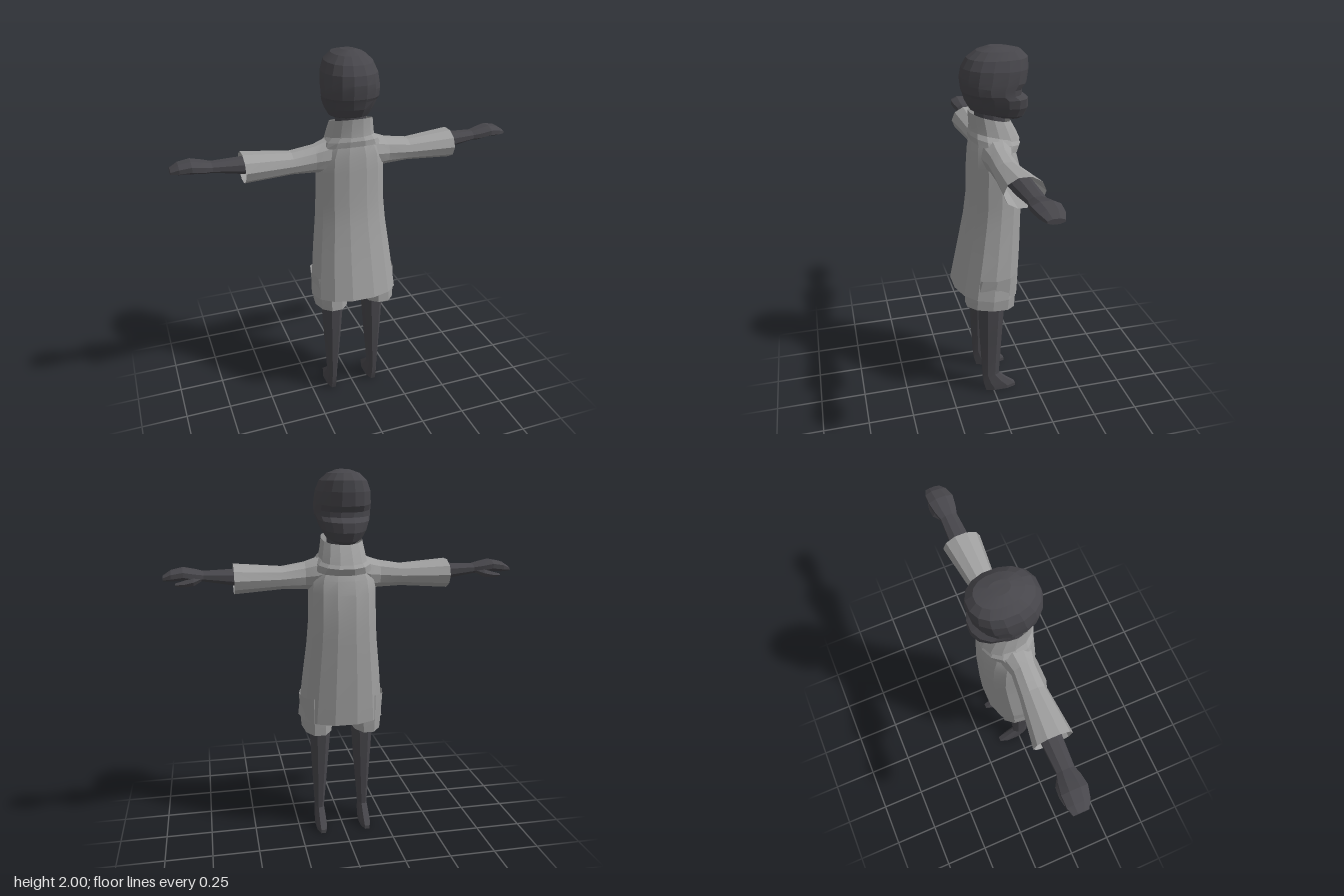
import * as THREE from 'three';
import { toCreasedNormals } from 'three/addons/utils/BufferGeometryUtils.js';

const cloth = new THREE.MeshStandardMaterial({ color: 0xa0a0a0, side: THREE.DoubleSide });
cloth.name = 'grey cloth';
const dark = new THREE.MeshStandardMaterial({ color: 0x47464b });
dark.name = 'charcoal skin';

// Skin a list of equal-sized point rings; flip reverses the winding for mirrored parts
function loft(name, rings, material, { caps = true, flip = false, crease = 0.2 } = {}) {
  const n = rings[0].length, pos = rings.flat(2), index = [];
  const tri = (a, b, c) => (flip ? index.push(a, c, b) : index.push(a, b, c));
  for (let r = 0; r < rings.length - 1; r++) {
    for (let i = 0; i < n; i++) {
      const a = r * n + i, b = r * n + (i + 1) % n;
      tri(a, b, b + n);
      tri(a, b + n, a + n);
    }
  }
  if (caps) {
    const last = (rings.length - 1) * n;
    for (let i = 1; i < n - 1; i++) {
      tri(0, i + 1, i);
      tri(last, last + i, last + i + 1);
    }
  }
  const geo = new THREE.BufferGeometry();
  geo.setAttribute('position', new THREE.Float32BufferAttribute(pos, 3));
  geo.setIndex(index);
  const mesh = new THREE.Mesh(toCreasedNormals(geo, crease), material);
  mesh.name = name;
  return mesh;
}

const soft = (v, e) => Math.sign(v) * Math.abs(v) ** e;

// Upright ring: [y at back (+z), y at front (-z), half width, z back, z front], centred on cx
function level([yb, yf, w, zb, zf], n, cx = 0, e = 0.9) {
  return Array.from({ length: n }, (_, i) => {
    const a = (i + 0.5) / n * Math.PI * 2;
    const s = soft(Math.sin(a), e), t = (1 + soft(Math.cos(a), e)) / 2;
    return [cx + s * w, yf + (yb - yf) * t, zf + (zb - zf) * t];
  });
}

// Ring across an arm: [x, y top, y bottom, z max, z min], mirrored by side
function across([x, yt, yb, z1, z0], n, side) {
  return Array.from({ length: n }, (_, i) => {
    const a = (i + 0.5) / n * Math.PI * 2;
    return [side * x, (yt + yb) / 2 + Math.cos(a) * (yt - yb) / 2 / Math.cos(Math.PI / n),
      (z1 + z0) / 2 + Math.sin(a) * (z1 - z0) / 2];
  });
}

export function createModel() {
  const model = new THREE.Group();
  model.name = 'figure';
  const upright = (name, rows, n, mat, opt, cx, e) =>
    model.add(loft(name, rows.map(r => level(r, n, cx, e)), mat, opt));
  const arm = (name, rows, n, mat, side, opt) =>
    model.add(loft(name, rows.map(r => across(r, n, side)), mat, { ...opt, flip: side < 0 }));

  // Head with protruding muzzle, recessed eye line and brow
  upright('head', [
    [1.66, 1.63, 0.06, 0.03, -0.165],
    [1.69, 1.645, 0.095, 0.095, -0.188],
    [1.73, 1.69, 0.12, 0.118, -0.208],
    [1.77, 1.74, 0.137, 0.13, -0.206],
    [1.785, 1.765, 0.144, 0.136, -0.172],
    [1.83, 1.79, 0.147, 0.142, -0.172],
    [1.855, 1.82, 0.146, 0.143, -0.195],
    [1.9, 1.89, 0.14, 0.135, -0.205],
    [1.945, 1.945, 0.12, 0.108, -0.2],
    [1.98, 1.98, 0.082, 0.06, -0.165],
    [2, 1.995, 0.035, 0, -0.1],
  ], 16, dark);
  upright('neck', [
    [1.5, 1.5, 0.08, 0.06, -0.08],
    [1.7, 1.68, 0.08, 0.07, -0.09],
  ], 10, dark);

  // Rolled collar: a wide lower fold and a standing upper band
  upright('collarFold', [
    [1.535, 1.47, 0.165, 0.1, -0.15],
    [1.565, 1.505, 0.15, 0.105, -0.168],
    [1.595, 1.55, 0.118, 0.095, -0.14],
  ], 14, cloth, { caps: false });
  upright('collarBand', [
    [1.57, 1.525, 0.13, 0.1, -0.165],
    [1.605, 1.57, 0.122, 0.097, -0.145],
    [1.68, 1.625, 0.11, 0.102, -0.115],
  ], 14, cloth, { caps: false });

  // Long coat, open at the hem
  upright('coat', [
    [0.695, 0.655, 0.24, 0.21, -0.16],
    [0.92, 0.9, 0.217, 0.165, -0.17],
    [1.1, 1.1, 0.195, 0.13, -0.174],
    [1.22, 1.2, 0.187, 0.115, -0.176],
    [1.4, 1.37, 0.184, 0.11, -0.166],
    [1.48, 1.44, 0.175, 0.104, -0.148],
    [1.54, 1.49, 0.145, 0.095, -0.13],
    [1.57, 1.53, 0.1, 0.085, -0.1],
  ], 14, cloth, { caps: false, crease: 0.3 });

  for (const side of [1, -1]) {
    const tag = side > 0 ? 'left' : 'right';

    // Flared sleeve, open at the cuff
    arm(tag + 'Sleeve', [
      [0.08, 1.57, 1.4, 0.075, -0.11],
      [0.14, 1.55, 1.385, 0.065, -0.1],
      [0.2, 1.53, 1.39, 0.05, -0.08],
      [0.32, 1.51, 1.395, 0.052, -0.09],
      [0.57, 1.53, 1.38, 0.073, -0.13],
    ], 10, cloth, side, { caps: false });

    // Forearm and mitten hand
    arm(tag + 'Arm', [
      [0.4, 1.51, 1.42, 0.03, -0.09],
      [0.57, 1.505, 1.425, 0.02, -0.09],
      [0.72, 1.5, 1.45, 0.01, -0.085],
      [0.76, 1.51, 1.45, 0.022, -0.1],
      [0.82, 1.522, 1.462, 0.03, -0.112],
      [0.88, 1.51, 1.457, 0.015, -0.11],
      [0.92, 1.485, 1.46, -0.01, -0.095],
    ], 8, dark, side);
    arm(tag + 'Thumb', [
      [0.73, 1.48, 1.455, -0.05, -0.085],
      [0.77, 1.475, 1.435, -0.06, -0.11],
      [0.82, 1.46, 1.43, -0.07, -0.112],
      [0.86, 1.45, 1.437, -0.08, -0.105],
    ], 6, dark, side);

    // Short trouser leg, open below
    upright(tag + 'ShortsLeg', [
      [0.625, 0.585, 0.085, 0.165, -0.115],
      [0.7, 0.67, 0.092, 0.16, -0.12],
      [0.8, 0.8, 0.1, 0.13, -0.12],
    ], 10, cloth, { caps: false }, side * 0.137);

    // Tapered leg ending in a pointed foot
    const leg = [
      [0, 0, 0.03, 0.05, -0.14, 0.127],
      [0.02, 0.02, 0.031, 0.056, -0.14, 0.127],
      [0.055, 0.06, 0.03, 0.063, -0.09, 0.127],
      [0.11, 0.11, 0.026, 0.065, -0.036, 0.127],
      [0.35, 0.35, 0.043, 0.078, -0.05, 0.123],
      [0.6, 0.6, 0.06, 0.087, -0.065, 0.12],
      [0.78, 0.78, 0.062, 0.09, -0.07, 0.12],
    ];
    model.add(loft(tag + 'Leg', leg.map(r => level(r, 8, side * r[5])), dark));
  }

  // Seat of the shorts joining both legs under the coat
  upright('shortsSeat', [
    [0.665, 0.66, 0.12, 0.12, -0.09],
    [0.8, 0.8, 0.19, 0.14, -0.13],
  ], 12, cloth);

  return model;
}
